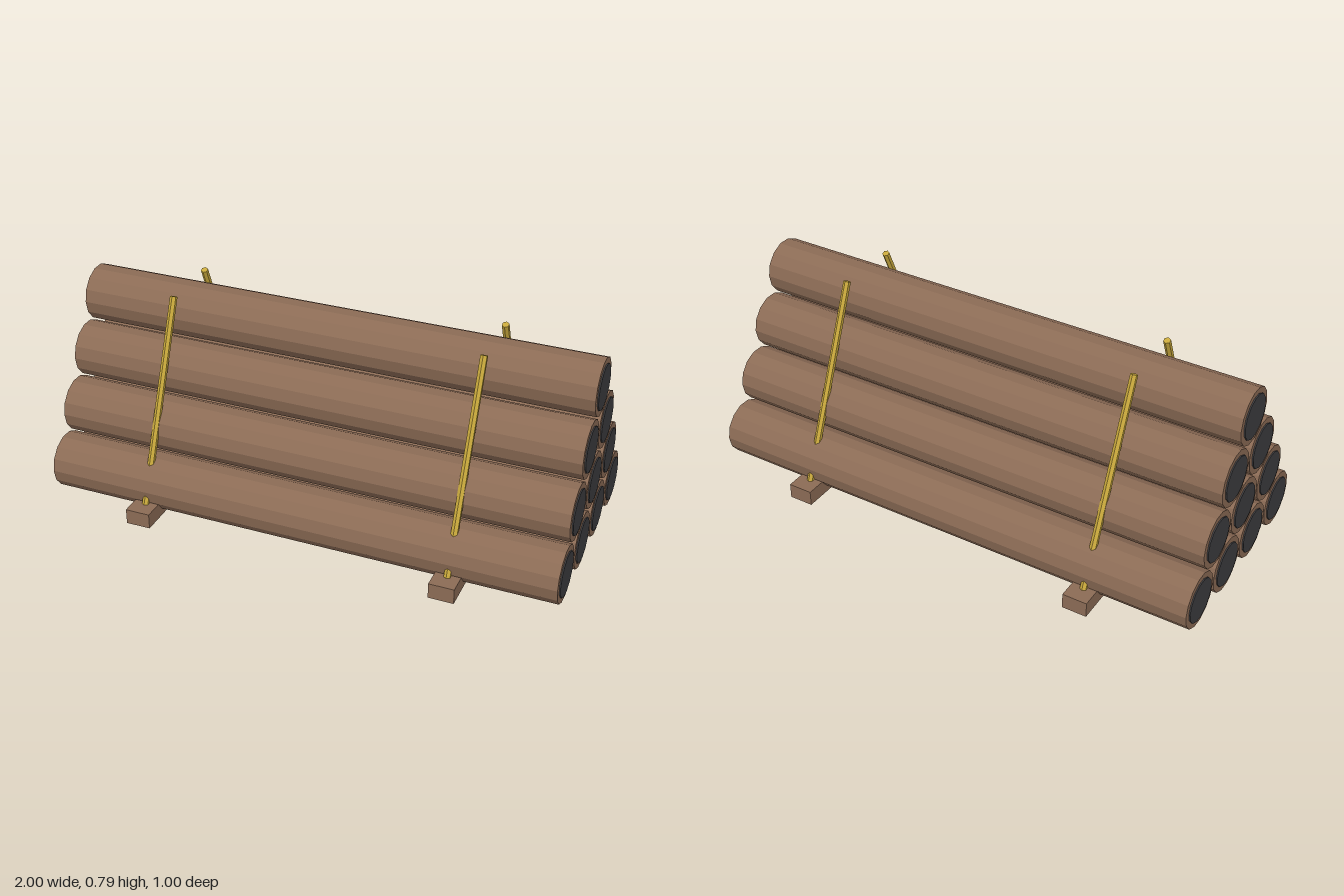
import * as THREE from 'three';

const SIDES = 14, RADIUS = 0.108, SPACING = 0.22, ROWS = 4;

export function createModel() {
  const model = new THREE.Group();
  model.name = 'pipeStack';

  const material = (name, color) => {
    const m = new THREE.MeshStandardMaterial({ color, flatShading: true });
    m.name = name;
    return m;
  };
  const brown = material('brown', 0x8b6b55);
  const charcoal = material('charcoal', 0x3d3d40);
  const yellow = material('yellow', 0xc8a83c);

  const add = (name, geometry, mat, x, y, z, parent = model) => {
    const mesh = new THREE.Mesh(geometry, mat);
    mesh.name = name;
    mesh.position.set(x, y, z);
    parent.add(mesh);
    return mesh;
  };

  // Pipes lie along x, with thin dark discs at both ends for the bores
  const pipeGeo = new THREE.CylinderGeometry(RADIUS, RADIUS, 1.99, SIDES).rotateZ(Math.PI / 2);
  const boreGeo = new THREE.CylinderGeometry(0.085, 0.085, 0.005, SIDES).rotateZ(Math.PI / 2);
  for (let row = 0; row < ROWS; row++) {
    const count = ROWS - row;
    for (let i = 0; i < count; i++) {
      const pipe = new THREE.Group();
      pipe.name = 'pipe';
      pipe.position.set(0, 0.111 + row * SPACING * Math.sqrt(3) / 2, (i - (count - 1) / 2) * SPACING);
      add('pipeWall', pipeGeo, brown, 0, 0, 0, pipe);
      for (const side of [-1, 1]) add('pipeBore', boreGeo, charcoal, side * 0.9975, 0, 0, pipe);
      model.add(pipe);
    }
  }

  // Bearers under the stack, each with a leaning stake at front and back
  const bearerGeo = new THREE.BoxGeometry(0.096, 0.06, 1);
  const stakeGeo = new THREE.CylinderGeometry(0.014, 0.014, 0.8, 6);
  for (const x of [-0.6, 0.6]) {
    add('bearer', bearerGeo, brown, x, 0.03, 0);
    for (const side of [-1, 1]) {
      add('stake', stakeGeo, yellow, x, 0.419, side * 0.281).rotation.x = -side * 0.4;
    }
  }
  return model;
}
